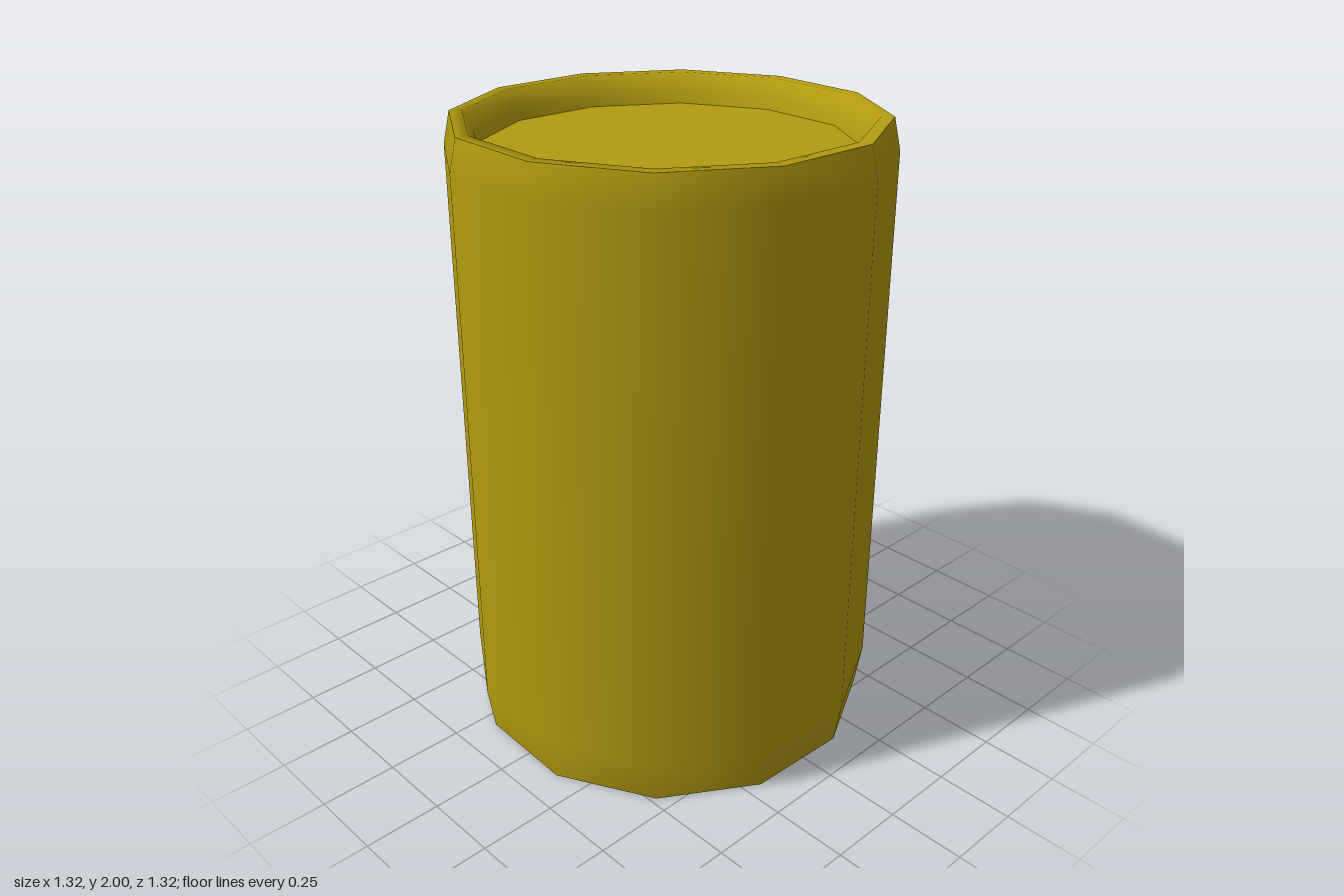
import * as THREE from 'three';

const SIDES = 12;
const TURN = THREE.MathUtils.degToRad(12.8);
const HEIGHT = 2;

export function createModel() {
  const group = new THREE.Group();
  group.name = 'canister';
  const material = new THREE.MeshStandardMaterial({ color: 0xb39b10 });

  // Revolves a profile of [radius, y] pairs; separate parts keep the rim edges sharp
  const addPart = (name, profile) => {
    const points = profile.map(([r, y]) => new THREE.Vector2(r, y));
    const mesh = new THREE.Mesh(new THREE.LatheGeometry(points, SIDES, TURN), material);
    mesh.name = name;
    group.add(mesh);
  };
  const flip = (profile) => profile.map(([r, y]) => [r, HEIGHT - y]).reverse();

  // Outer wall, tapering slightly at both ends
  addPart('body', [[0.655, 0], [0.677, 0.14], [0.677, 1.9], [0.655, HEIGHT]]);

  // Rolled rim and recessed end plate, mirrored top to bottom
  const rim = [[0.575, 0.095], [0.585, 0.06], [0.615, 0], [0.655, 0]];
  const plate = [[0, 0.095], [0.575, 0.095]];
  addPart('bottomRim', rim);
  addPart('bottomPlate', plate);
  addPart('topRim', flip(rim));
  addPart('topPlate', flip(plate));

  return group;
}
